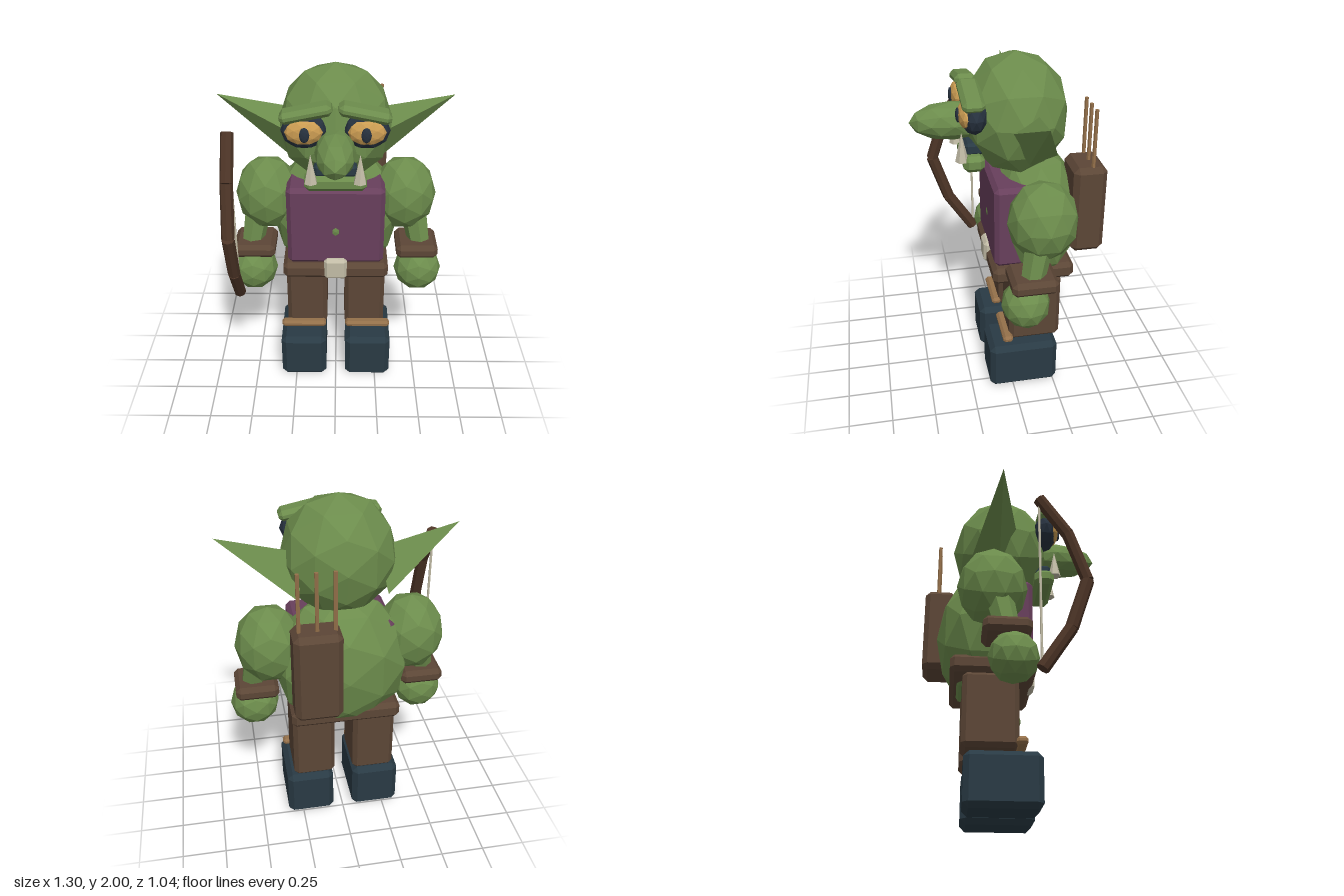
import * as THREE from 'three';
import { ConvexGeometry } from 'three/addons/geometries/ConvexGeometry.js';

const mat = (name, color) => {
  const m = new THREE.MeshStandardMaterial({ color, flatShading: true });
  m.name = name;
  return m;
};

export function createModel() {
  const model = new THREE.Group();
  model.name = 'goblinArcher';

  const skin = mat('skinGreen', 0x6c8c4c);
  const leather = mat('leatherBrown', 0x5c4636);
  const wood = mat('darkWood', 0x4c3426);
  const cloth = mat('vestPurple', 0x683f5c);
  const dark = mat('darkSlate', 0x293a44);
  const socket = mat('eyeSocket', 0x27323f);
  const amber = mat('eyeAmber', 0xcb9c52);
  const bone = mat('bone', 0xc2bca6);
  const tan = mat('tan', 0x94704a);

  const add = (name, geometry, material, pos = [0, 0, 0]) => {
    const mesh = new THREE.Mesh(geometry, material);
    mesh.name = name;
    mesh.position.set(...pos);
    model.add(mesh);
    return mesh;
  };

  // Faceted ellipsoid
  const blob = (name, material, pos, radii, detail = 1) =>
    add(name, new THREE.IcosahedronGeometry(1, detail).scale(...radii), material, pos);

  // Box with chamfered edges
  const block = (name, material, pos, size, c = 0.025) => {
    const [x, y, z] = size.map((v) => v / 2);
    const pts = [];
    for (const i of [-1, 1]) for (const j of [-1, 1]) for (const k of [-1, 1]) {
      pts.push(
        new THREE.Vector3(i * x, j * (y - c), k * (z - c)),
        new THREE.Vector3(i * (x - c), j * y, k * (z - c)),
        new THREE.Vector3(i * (x - c), j * (y - c), k * z));
    }
    return add(name, new ConvexGeometry(pts), material, pos);
  };

  // Straight rod between two points
  const rod = (name, material, a, b, r0, r1 = r0, sides = 6) => {
    const p = new THREE.Vector3(...a), q = new THREE.Vector3(...b);
    const dir = q.clone().sub(p);
    const mesh = add(name, new THREE.CylinderGeometry(r1, r0, dir.length(), sides), material);
    mesh.position.copy(p).add(q).multiplyScalar(0.5);
    mesh.quaternion.setFromUnitVectors(new THREE.Vector3(0, 1, 0), dir.normalize());
    return mesh;
  };

  // Head, nose and mouth
  blob('head', skin, [0, 1.66, -0.065], [0.32, 0.34, 0.293]);
  blob('nose', skin, [0, 1.635, 0.28], [0.108, 0.105, 0.237]);
  block('mouth', dark, [0, 1.5, 0.18], [0.23, 0.07, 0.1], 0.015);
  block('lowerLip', skin, [0, 1.43, 0.187], [0.335, 0.092, 0.116], 0.025);

  // Torso, clothing and belt
  blob('torso', skin, [0, 1.055, -0.167], [0.39, 0.415, 0.272]);
  block('vest', cloth, [0, 1.08, -0.085], [0.56, 0.49, 0.37], 0.025);
  block('belt', leather, [0, 0.785, -0.12], [0.62, 0.1, 0.47], 0.025);
  block('buckle', bone, [0, 0.808, 0.1], [0.135, 0.135, 0.06], 0.018);

  for (const s of [-1, 1]) {
    const side = s > 0 ? 'left' : 'right';

    // Ear
    const ear = [[0.65, 1.81, -0.098], [0.24, 1.63, 0.02], [0.27, 1.46, -0.09],
      [0.24, 1.49, -0.25], [0.2, 1.715, -0.14]];
    add(side + 'Ear', new ConvexGeometry(ear.map(([x, y, z]) => new THREE.Vector3(s * x, y, z))), skin);

    // Eye and brow
    blob(side + 'EyeSocket', socket, [s * 0.163, 1.722, 0.19], [0.122, 0.102, 0.072]);
    blob(side + 'Eye', amber, [s * 0.163, 1.725, 0.23], [0.1, 0.07, 0.044]);
    blob(side + 'Pupil', socket, [s * 0.158, 1.725, 0.27], [0.027, 0.042, 0.014]);
    const brow = block(side + 'Brow', skin, [s * 0.152, 1.822, 0.2], [0.275, 0.062, 0.118], 0.022);
    brow.rotation.z = -s * 0.2;

    // Tusk
    add(side + 'Tusk', new THREE.ConeGeometry(0.037, 0.165, 6), bone, [s * 0.13, 1.53, 0.252]);

    // Arm
    blob(side + 'Shoulder', skin, [s * 0.4, 1.19, -0.138], [0.19, 0.225, 0.195]);
    rod(side + 'Forearm', skin, [s * 0.45, 1.16, -0.12], [s * 0.515, 0.82, -0.05], 0.085, 0.062, 7);
    block(side + 'Wristband', leather, [s * 0.482, 0.882, -0.067], [0.245, 0.085, 0.255], 0.025);
    blob(side + 'Hand', skin, [s * 0.495, 0.735, -0.03], [0.142, 0.14, 0.136]);

    // Leg and boot
    block(side + 'Leg', leather, [s * 0.177, 0.53, -0.133], [0.245, 0.42, 0.305], 0.025);
    block(side + 'LegTie', tan, [s * 0.198, 0.35, 0.032], [0.275, 0.042, 0.06], 0.014);
    block(side + 'Boot', dark, [s * 0.2, 0.147, -0.065], [0.28, 0.294, 0.41], 0.03);
  }

  // Quiver and arrows
  block('quiver', leather, [0.177, 1.16, -0.427], [0.258, 0.52, 0.188], 0.03);
  for (const x of [0.08, 0.175, 0.27]) {
    rod('arrow', tan, [x, 1.35, -0.442], [x, 1.745, -0.442], 0.011);
  }

  // Bow with four straight limbs and a string
  const bow = [[0.64, 0.107], [0.875, 0.262], [1.16, 0.357], [1.445, 0.262], [1.67, 0.107]];
  for (let i = 0; i < 4; i++) {
    const [y0, z0] = bow[i], [y1, z1] = bow[i + 1];
    rod('bowLimb', wood, [-0.575, y0, z0], [-0.575, y1, z1], 0.036, 0.036, 8);
  }
  rod('bowString', bone, [-0.575, 0.65, 0.105], [-0.575, 1.66, 0.105], 0.007);

  return model;
}
